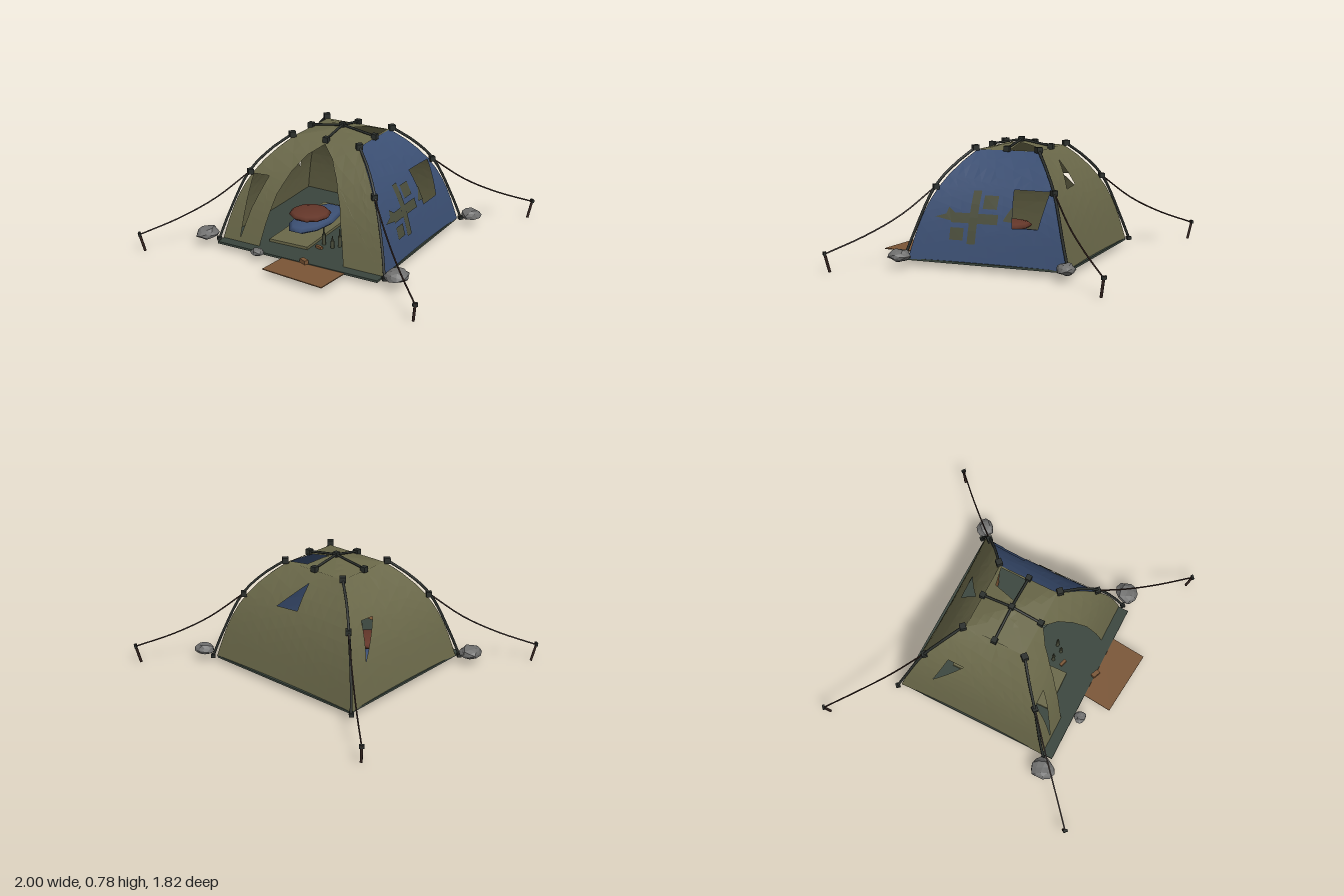
import * as THREE from 'three';

const mat = (name, color, side = THREE.FrontSide) => {
  const m = new THREE.MeshStandardMaterial({ color, side });
  m.name = name;
  return m;
};

// Half width and half depth of the dome at height y
const BASE = 0.04, TOP = 0.71;
const level = y => (y - BASE) / (TOP - BASE);
const halfX = y => 0.59 - 0.15 * level(y) - 0.205 * Math.max(0, level(y)) ** 3.3;
const halfZ = y => 0.53 - 0.15 * level(y) - 0.175 * Math.max(0, level(y)) ** 3.3;

const toShape = pts => new THREE.Shape(pts.map(p => new THREE.Vector2(...p)));

// Triangulates a flat shape, splits long edges, then bends it with place(a, b)
function bentPanel(pts, holes, place, maxEdge = 0.1) {
  const shape = toShape(pts);
  shape.holes = holes.map(toShape);
  const flat = new THREE.ShapeGeometry(shape).toNonIndexed().attributes.position;
  const out = [];
  const split = (a, b, c) => {
    const ab = a.distanceTo(b), bc = b.distanceTo(c), ca = c.distanceTo(a);
    const longest = Math.max(ab, bc, ca);
    if (longest < maxEdge) {
      [a, b, c].forEach(p => out.push(...place(p.x, p.y)));
    } else if (ab === longest) {
      const m = a.clone().lerp(b, 0.5);
      split(a, m, c);
      split(m, b, c);
    } else if (bc === longest) {
      const m = b.clone().lerp(c, 0.5);
      split(a, b, m);
      split(a, m, c);
    } else {
      const m = c.clone().lerp(a, 0.5);
      split(a, b, m);
      split(m, b, c);
    }
  };
  const at = i => new THREE.Vector2(flat.getX(i), flat.getY(i));
  for (let i = 0; i < flat.count; i += 3) split(at(i), at(i + 1), at(i + 2));
  const g = new THREE.BufferGeometry();
  g.setAttribute('position', new THREE.Float32BufferAttribute(out, 3));
  g.computeVertexNormals();
  return g;
}

// Maps across / up coordinates onto one wall of the dome
const wallPlace = (side, offset = 0) => (a, y) => {
  const alongX = side === 'front' || side === 'back';
  const w = (alongX ? halfX : halfZ)(y);
  const bow = side === 'front' ? 0 : 0.015 * (1 - (a / w) ** 2);
  const d = (alongX ? halfZ : halfX)(y) - bow + offset;
  return { front: [a, y, d], back: [-a, y, -d], left: [d, y, -a], right: [-d, y, a] }[side];
};

function wallOutline(half) {
  const ys = Array.from({ length: 10 }, (_, i) => BASE + (TOP - BASE) * i / 9);
  return [...ys.map(y => [half(y), y]), ...ys.reverse().map(y => [-half(y), y])];
}

export function createModel() {
  const model = new THREE.Group();
  const olive = mat('olive canvas', 0x6a6849, THREE.DoubleSide);
  const blue = mat('blue canvas', 0x3b4f73, THREE.DoubleSide);
  const green = mat('dark green groundsheet', 0x3a453d, THREE.DoubleSide);
  const camo = mat('dark olive patch', 0x4a4d3b, THREE.DoubleSide);
  const wood = mat('brown wood', 0x7a5535);
  const black = mat('dark pole', 0x2a2e2b);
  const rope = mat('dark rope', 0x35241f);
  const stone = mat('grey stone', 0x6f6f6e);
  const red = mat('red brown cloth', 0x633629);

  const add = (name, geo, m, pos = [0, 0, 0], rot = [0, 0, 0], scale = [1, 1, 1]) => {
    const mesh = new THREE.Mesh(geo, m);
    mesh.name = name;
    mesh.position.set(...pos);
    mesh.rotation.set(...rot);
    mesh.scale.set(...scale);
    model.add(mesh);
  };
  const box = (name, m, size, pos, rot) => add(name, new THREE.BoxGeometry(...size), m, pos, rot);
  const tube = (name, m, pts, r, n = 12) => add(name, new THREE.TubeGeometry(
    new THREE.CatmullRomCurve3(pts.map(p => new THREE.Vector3(...p))), n, r, 6), m);

  // Walls with their torn openings
  const doorSide = [[0.31, BASE], [0.28, 0.19], [0.23, 0.385], [0.16, 0.535], [0.09, 0.63]];
  const door = [...doorSide.map(([x, y]) => [-x, y]), [0, 0.695], ...doorSide.slice().reverse()];
  const frontOutline = [...wallOutline(halfX), ...door];
  const frontTear = [[-0.43, 0.475], [-0.315, 0.48], [-0.40, 0.27], [-0.46, 0.07], [-0.445, 0.26]];
  add('frontWall', bentPanel(frontOutline, [frontTear], wallPlace('front')), olive);
  add('backWall', bentPanel(wallOutline(halfX), [[[0, 0.64], [0, 0.485], [-0.17, 0.475]]],
    wallPlace('back')), olive);
  add('rightWall', bentPanel(wallOutline(halfZ), [[[-0.13, 0.495], [-0.24, 0.5], [-0.31, 0.28]]],
    wallPlace('right')), olive);
  add('leftWall', bentPanel(wallOutline(halfZ),
    [[[0.125, 0.49], [0.365, 0.49], [0.32, 0.27], [0.15, 0.265]]], wallPlace('left')), blue);

  // Patches sewn on the blue wall
  const rect = (a0, a1, y0, y1) => [[a0, y0], [a1, y0], [a1, y1], [a0, y1]];
  const patches = [
    rect(-0.14, -0.085, 0.155, 0.475), rect(-0.26, -0.14, 0.28, 0.34), rect(-0.085, 0.05, 0.28, 0.34),
    rect(-0.06, 0.035, 0.37, 0.45), rect(-0.26, -0.17, 0.175, 0.25),
    [[-0.37, 0.31], [-0.26, 0.29], [-0.24, 0.34], [-0.285, 0.37], [-0.3, 0.33]],
    [[0.085, 0.305], [0.145, 0.30], [0.135, 0.39], [0.10, 0.335]],
  ];
  patches.forEach(p => add('wallPatch', bentPanel(p, [], wallPlace('left', 0.006)), camo));

  // Repair patches inside the back wall
  const disc = Array.from({ length: 8 }, (_, i) =>
    [0.15 + 0.025 * Math.cos(i * Math.PI / 4), 0.33 + 0.025 * Math.sin(i * Math.PI / 4)]);
  [disc, [[-0.2, 0.42], [-0.14, 0.41], [-0.12, 0.46], [-0.2, 0.47]]].forEach(p =>
    add('innerPatch', bentPanel(p, [], wallPlace('back', -0.006)), green));

  // Roof, a low pyramid with one torn quarter
  const rx = halfX(TOP), rz = halfZ(TOP);
  add('roof', bentPanel([[-rx, -rz], [rx, -rz], [rx, rz], [-rx, rz]],
    [[[0.05, 0.012], [0.222, 0.012], [0.222, 0.19], [0.1, 0.165]]],
    (a, b) => [a, 0.752 - 0.042 * Math.max(Math.abs(a) / rx, Math.abs(b) / rz), -b], 0.07), olive);

  // Groundsheet and door mat
  box('groundsheet', green, [1.17, 0.014, 1.13], [0, 0.037, 0.035]);
  box('doorMat', wood, [0.45, 0.006, 0.3], [0.125, 0.036, 0.665], [0, -0.095, 0]);

  // Roof rods, from the hub to the middle of each edge
  const hub = [0, 0.762, 0];
  box('roofHub', black, [0.034, 0.034, 0.034], hub);
  [[0.235, 0], [-0.235, 0], [0, 0.205], [0, -0.205]].forEach(([x, z]) => {
    tube('roofRod', black, [hub, [x, 0.725, z]], 0.008, 1);
    box('roofRodEnd', black, [0.036, 0.036, 0.036], [x, 0.722, z]);
  });

  // Corner poles, guy ropes and pegs
  for (const sx of [1, -1]) for (const sz of [1, -1]) {
    const at = (x, y, z) => [sx * x, y, sz * z];
    const yaw = [0, sx * sz * 0.73, 0];
    tube('cornerPole', black, [at(0.608, 0.04, 0.55), at(0.565, 0.2, 0.5), at(0.46, 0.487, 0.402),
      at(0.36, 0.622, 0.31), at(0.245, 0.722, 0.217)], 0.009);
    box('poleFoot', black, [0.03, 0.022, 0.03], at(0.608, 0.042, 0.548), yaw);
    box('poleJoint', black, [0.036, 0.034, 0.036], at(0.452, 0.488, 0.398), yaw);
    box('poleEnd', black, [0.04, 0.036, 0.04], at(0.245, 0.722, 0.217), yaw);
    tube('guyRope', rope, [at(0.455, 0.487, 0.402), at(0.62, 0.325, 0.555),
      at(0.79, 0.21, 0.715), at(0.985, 0.115, 0.893)], 0.005);
    tube('peg', rope, [at(0.964, 0, 0.872), at(0.987, 0.13, 0.896)], 0.009, 1);
    box('pegHook', black, [0.03, 0.022, 0.016], at(0.985, 0.118, 0.894), yaw);
  }

  // Stones around the tent
  const stoneGeo = new THREE.IcosahedronGeometry(1, 1);
  const p = stoneGeo.attributes.position;
  for (let i = 0; i < p.count; i++) {
    const [x, y, z] = [p.getX(i), p.getY(i), p.getZ(i)];
    const k = 0.93 + 0.1 * Math.sin(7 * x + 5 * y + 9 * z);
    p.setXYZ(i, x * k, y * k, z * k);
  }
  stoneGeo.computeVertexNormals();
  [[-0.68, 0.58, 0.075, 0.088, 0.042], [0.69, 0.54, 0.085, 0.075, 0.042],
    [0.68, -0.56, 0.062, 0.072, 0.04], [-0.25, 0.64, 0.046, 0.042, 0.025]].forEach(
    ([x, z, w, d, h], i) => add('stone', stoneGeo, stone, [x, 0.038 + h, z], [0, i, 0], [w, h, d]));

  // Bedding
  const lump = new THREE.SphereGeometry(1, 10, 6);
  box('sleepingMat', olive, [0.28, 0.018, 0.72], [-0.165, 0.053, 0.07], [0, 0.03, 0]);
  add('sleepingBag', lump, blue, [-0.17, 0.095, 0.06], [0, 0, 0], [0.135, 0.036, 0.28]);
  add('cushion', lump, red, [-0.165, 0.163, 0.14], [0, 0, 0], [0.14, 0.033, 0.14]);

  // Camp gear
  add('bundle', lump, green, [0.235, 0.085, 0.1], [0, 0, 0], [0.075, 0.032, 0.06]);
  box('leaningBoard', wood, [0.14, 0.24, 0.03], [0.31, 0.165, -0.29], [0, 0.25, -0.08]);
  box('woodBlock', wood, [0.055, 0.025, 0.03], [0.07, 0.055, 0.6], [0, -0.4, 0]);
  box('woodChip', wood, [0.05, 0.016, 0.02], [0.04, 0.054, 0.37], [0, -0.3, 0]);
  [[0.035, 0.12, 0.3], [0.11, 0.08, 0.32], [0.14, 0.12, 0.28]].forEach(([x, h, z]) => {
    add('bottle', new THREE.CylinderGeometry(0.012, 0.012, h * 0.6, 8), camo, [x, 0.044 + h * 0.3, z]);
    add('bottleNeck', new THREE.CylinderGeometry(0.004, 0.006, h * 0.4, 8), camo, [x, 0.044 + h * 0.8, z]);
  });
  return model;
}
